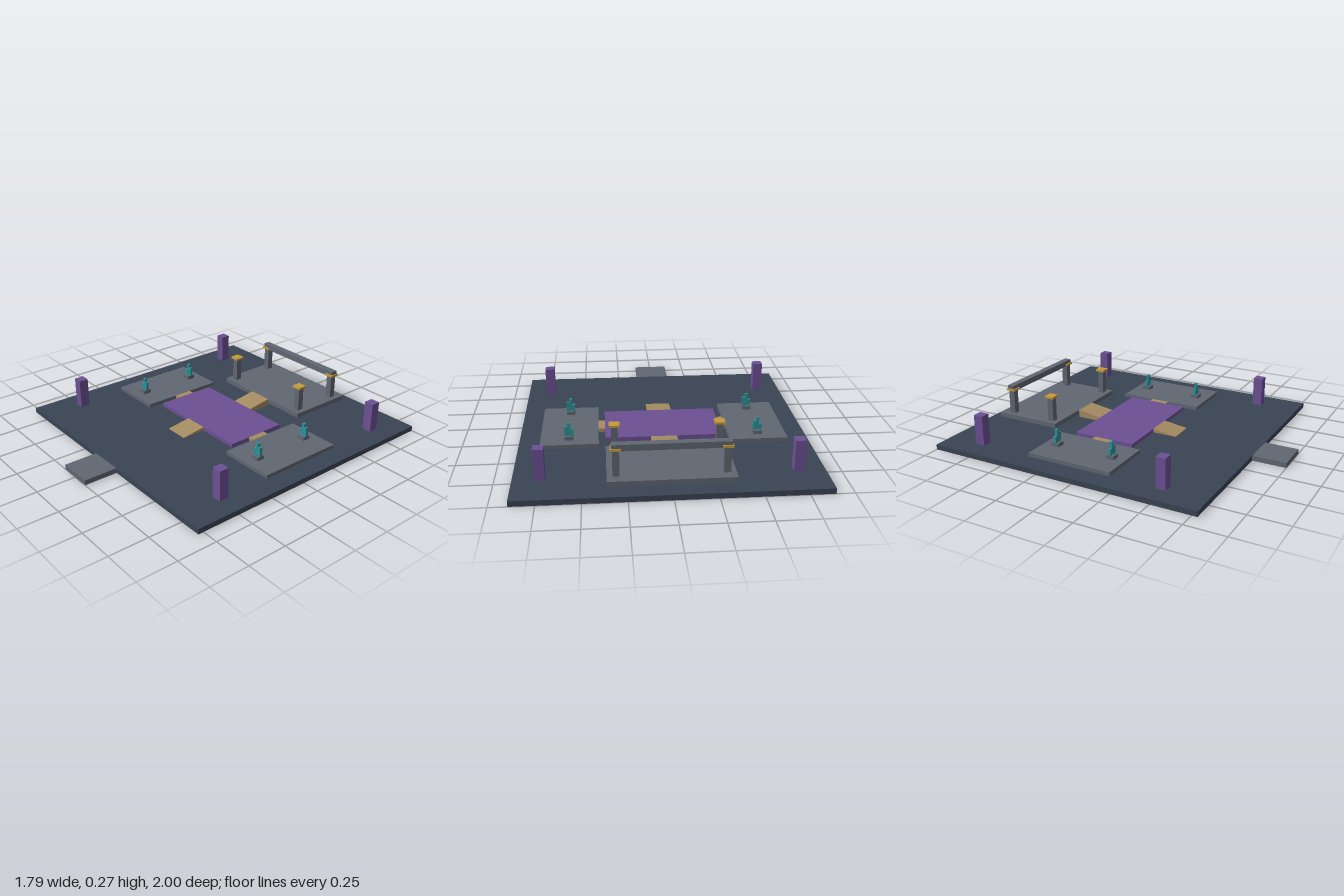
import * as THREE from 'three';

export function createModel() {
  const root = new THREE.Group();
  const mat = (color) => new THREE.MeshStandardMaterial({ color, flatShading: true });
  const navy = mat(0x3a4454), grey = mat(0x606772), purple = mat(0x6c5094);
  const tan = mat(0xa68c62), gold = mat(0xc49a3c), teal = mat(0x2f9298);

  // Box given by its extents on each axis
  function block(name, material, [x0, x1], [y0, y1], [z0, z1]) {
    const mesh = new THREE.Mesh(new THREE.BoxGeometry(x1 - x0, y1 - y0, z1 - z0), material);
    mesh.position.set((x0 + x1) / 2, (y0 + y1) / 2, (z0 + z1) / 2);
    mesh.name = name;
    root.add(mesh);
    return mesh;
  }
  const around = (c, size) => [c - size / 2, c + size / 2];

  // Wedge across x, sloping from its low end to its high end along z
  function ramp(name, zLow, zHigh, yBottom, yLow, yHigh, width) {
    const s = new THREE.Shape([
      new THREE.Vector2(-zLow, yBottom), new THREE.Vector2(-zHigh, yBottom),
      new THREE.Vector2(-zHigh, yHigh), new THREE.Vector2(-zLow, yLow),
    ]);
    const geo = new THREE.ExtrudeGeometry(s, { depth: width, bevelEnabled: false });
    geo.translate(0, 0, -width / 2);
    geo.rotateY(Math.PI / 2);
    const mesh = new THREE.Mesh(geo, tan);
    mesh.name = name;
    root.add(mesh);
  }

  const floor = 0.033, deck = 0.058, stage = 0.082;

  // Ground slab and entrance step
  block('groundSlab', navy, [-0.893, 0.893], [0, floor], [-1, 0.785]);
  block('entranceStep', grey, [-0.113, 0.113], [0, 0.032], [0.785, 1]);

  // Platforms
  block('centrePlatform', purple, [-0.363, 0.363], [floor, deck], [-0.31, 0.095]);
  block('rearPlatform', grey, [-0.363, 0.363], [0.052, stage], [-0.918, -0.474]);

  // Ramps at the front and rear of the centre
  ramp('frontRamp', 0.255, 0.095, floor - 0.003, floor + 0.003, deck, 0.16);
  ramp('rearRamp', -0.31, -0.474, floor, deck, stage, 0.16);

  for (const side of [-1, 1]) {
    block('sidePlatform', grey, around(side * 0.583, 0.358), [floor, deck - 0.001], [-0.39, 0.175]);
    block('sideBridge', tan, around(side * 0.3835, 0.041), [floor, deck - 0.001], around(-0.107, 0.122));

    // Corner pillars
    for (const z of [-0.757, 0.503]) {
      block('cornerPillar', purple, around(side * 0.737, 0.062), [floor, 0.226], around(z, 0.062));
    }

    // Columns with gold caps on the rear platform
    for (const z of [-0.53, -0.838]) {
      block('column', grey, around(side * 0.31, 0.04), [stage, 0.238], around(z, 0.04));
      block('columnCap', gold, around(side * 0.31, 0.062), [0.238, 0.252], around(z, 0.062));
    }

    // Crystal clusters on pedestals
    for (const z of [-0.303, 0.085]) {
      const x = side * 0.585;
      block('pedestal', grey, around(x, 0.054), [deck - 0.001, 0.08], around(z, 0.054));
      [0.122, 0.162, 0.14].forEach((top, i) => {
        block('crystal', teal, around(x + (i - 1) * 0.0185, 0.018), [0.08, top], around(z, 0.018));
      });
    }
  }

  // Beam across the rear columns
  block('beam', grey, [-0.335, 0.335], [0.236, 0.274], around(-0.838, 0.045));

  return root;
}
